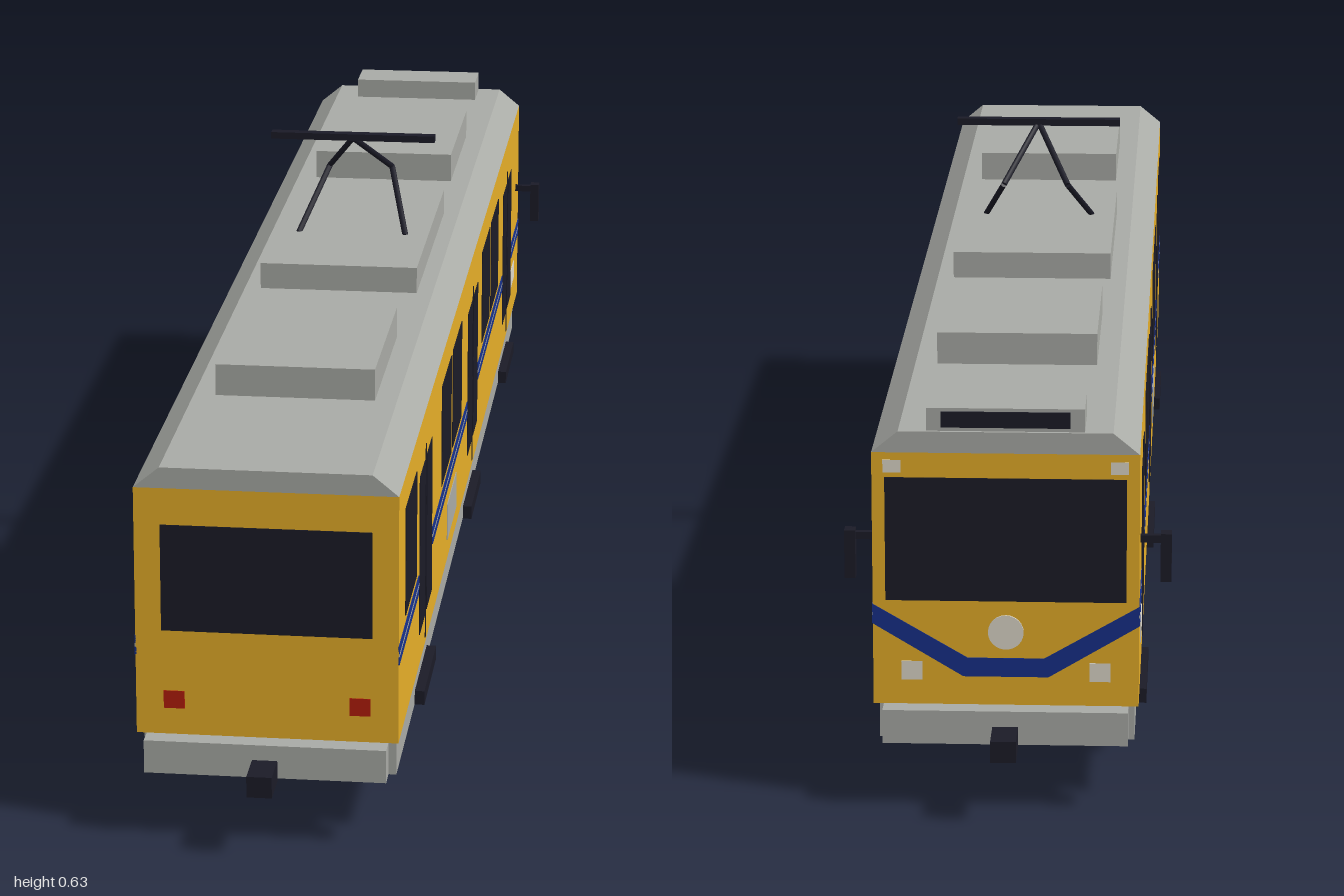
import * as THREE from 'three';

const mat = (name, color) => {
  const m = new THREE.MeshStandardMaterial({ color });
  m.name = name;
  return m;
};

export function createModel() {
  const yellow = mat('yellow paint', 0xe6ae28);
  const grey = mat('grey metal', 0xa9aba6);
  const dark = mat('dark glass and iron', 0x1b1b27);
  const blue = mat('blue stripe', 0x17308a);
  const red = mat('red lamp', 0xb31d0a);
  const cream = mat('cream lamp', 0xded9cb);

  const tram = new THREE.Group();
  tram.name = 'tram';

  const add = (name, geometry, material, x = 0, y = 0, z = 0) => {
    const mesh = new THREE.Mesh(geometry, material);
    mesh.name = name;
    mesh.position.set(x, y, z);
    tram.add(mesh);
    return mesh;
  };
  // Box given by its limits on each axis
  const box = (name, material, x0, x1, y0, y1, z0, z1) =>
    add(name, new THREE.BoxGeometry(Math.abs(x1 - x0), y1 - y0, Math.abs(z1 - z0)), material,
      (x0 + x1) / 2, (y0 + y1) / 2, (z0 + z1) / 2);
  // Round bar between two points
  const rod = (name, a, b, r) => {
    const d = b.clone().sub(a);
    const mesh = add(name, new THREE.CylinderGeometry(r, r, d.length(), 8), dark);
    mesh.position.copy(a).add(b).multiplyScalar(0.5);
    mesh.quaternion.setFromUnitVectors(new THREE.Vector3(0, 1, 0), d.normalize());
  };

  const W = 0.156, L = 0.926;

  // Body and bevelled roof
  box('body', yellow, -W, W, 0.122, 0.43, -L, L);
  const roofShape = new THREE.Shape([[-W, 0.43], [W, 0.43], [0.125, 0.4555], [-0.125, 0.4555]]
    .map(([x, y]) => new THREE.Vector2(x, y)));
  add('roof', new THREE.ExtrudeGeometry(roofShape, { depth: 2 * L, bevelEnabled: false }), grey, 0, 0, -L);

  // Hollow skirt around a raised floor
  box('floor', grey, -0.15, 0.15, 0.117, 0.122, -0.9, 0.9);
  for (const s of [-1, 1]) {
    box('skirtSide', grey, s * 0.139, s * 0.151, 0.071, 0.122, -0.9, 0.9);
    box('skirtEnd', grey, -0.139, 0.139, 0.071, 0.122, s * 0.888, s * 0.9);
  }

  // Roof equipment
  box('frontRoofUnit', grey, -0.098, 0.098, 0.455, 0.495, 0.393, 0.652);
  box('middleRoofUnit', grey, -0.104, 0.104, 0.455, 0.49, -0.195, 0.195);
  box('rearRoofUnit', grey, -0.098, 0.098, 0.455, 0.495, -0.628, -0.37);
  box('signBox', grey, -0.092, 0.092, 0.455, 0.483, -0.922, -0.855);
  box('signGlass', dark, -0.075, 0.075, 0.46, 0.479, -0.924, -0.921);

  // Bumpers and couplers at both ends
  for (const s of [-1, 1]) {
    box('bumper', grey, -0.144, 0.144, 0.081, 0.122, s * 0.922, s * 0.95);
    box('coupler', dark, -0.015, 0.015, 0.077, 0.103, s * 0.945, s * 1.0);
  }

  // Bogies with four wheels each
  for (const zc of [0.563, -0.563]) {
    box('bogieFrame', dark, -0.131, 0.131, 0.045, 0.075, zc - 0.13, zc + 0.13);
    add('bogiePivot', new THREE.CylinderGeometry(0.04, 0.04, 0.045, 16), dark, 0, 0.096, zc);
    for (const dz of [-0.118, 0.118]) {
      for (const x of [-0.102, 0.102]) {
        const wheel = add('wheel', new THREE.CylinderGeometry(0.047, 0.047, 0.016, 16), dark, x, 0.047, zc + dz);
        wheel.rotation.z = Math.PI / 2;
      }
    }
  }

  // Side details, mirrored on left and right
  for (const s of [-1, 1]) {
    const plate = (name, material, y0, y1, z0, z1) =>
      box(name, material, s * (W - 0.001), s * (W + 0.001), y0, y1, z0, z1);

    for (const [z0, z1] of [[0.72, 0.852], [0.257, 0.39], [0.102, 0.235], [-0.363, -0.23], [-0.518, -0.385]])
      plate('sideWindow', dark, 0.255, 0.39, z0, z1);

    for (const z of [0.602, -0.078, -0.693]) {
      plate('doorGlass', dark, 0.163, 0.368, z + 0.011, z + 0.078);
      plate('doorGlass', dark, 0.163, 0.368, z - 0.078, z - 0.011);
      plate('doorSeam', dark, 0.13, 0.385, z - 0.003, z + 0.003);
      box('doorStep', dark, s * 0.147, s * 0.163, 0.07, 0.088, z - 0.077, z + 0.077);
    }

    for (const [z0, z1] of [[0.69, L], [0.007, 0.514], [-0.605, -0.165], [-L, -0.781]]) {
      plate('upperStripe', blue, 0.235, 0.245, z0, z1);
      plate('stripeCentre', grey, 0.231, 0.235, z0, z1);
      plate('lowerStripe', blue, 0.221, 0.231, z0, z1);
    }
    plate('sidePanel', grey, 0.15, 0.2, 0.175, 0.305);
    plate('sideLabel', cream, 0.172, 0.2, -0.842, -0.78);

    // Wing mirror
    box('mirrorArm', dark, s * W, s * 0.193, 0.307, 0.316, -0.873, -0.865);
    box('mirror', dark, s * 0.18, s * 0.193, 0.26, 0.319, -0.877, -0.861);

    // End lamps
    box('redLamp', red, s * 0.098, s * 0.123, 0.155, 0.177, L - 0.001, L + 0.001);
    box('headlamp', cream, s * 0.098, s * 0.123, 0.152, 0.175, -L + 0.001, -L - 0.001);
    box('upperLamp', cream, s * 0.122, s * 0.143, 0.406, 0.421, -L + 0.001, -L - 0.001);
  }

  // End windows
  box('frontEndWindow', dark, -0.125, 0.125, 0.253, 0.385, L - 0.001, L + 0.001);
  box('rearEndWindow', dark, -0.141, 0.141, 0.25, 0.4, -L + 0.001, -L - 0.001);

  // Dipping stripe and round lamp on the rear end
  const chevron = new THREE.Shape([
    [-W, 0.221], [-0.05, 0.157], [0.05, 0.157], [W, 0.221],
    [W, 0.245], [0.045, 0.18], [-0.045, 0.18], [-W, 0.245],
  ].map(([x, y]) => new THREE.Vector2(x, y)));
  add('chevronStripe', new THREE.ExtrudeGeometry(chevron, { depth: 0.002, bevelEnabled: false }), blue, 0, 0, -L - 0.001);
  const lamp = add('roundLamp', new THREE.CylinderGeometry(0.021, 0.021, 0.004, 24), cream, 0, 0.212, -L);
  lamp.rotation.x = Math.PI / 2;

  // Pantograph
  for (const s of [-1, 1]) {
    const base = new THREE.Vector3(s * 0.073, 0.488, 0.037);
    const knee = new THREE.Vector3(s * 0.043, 0.555, -0.075);
    const top = new THREE.Vector3(0, 0.62, 0.024);
    rod('pantographLowerArm', base, knee, 0.004);
    rod('pantographUpperArm', knee, top, 0.004);
  }
  box('pantographBar', dark, -0.111, 0.111, 0.617, 0.626, 0.015, 0.029);

  return tram;
}
